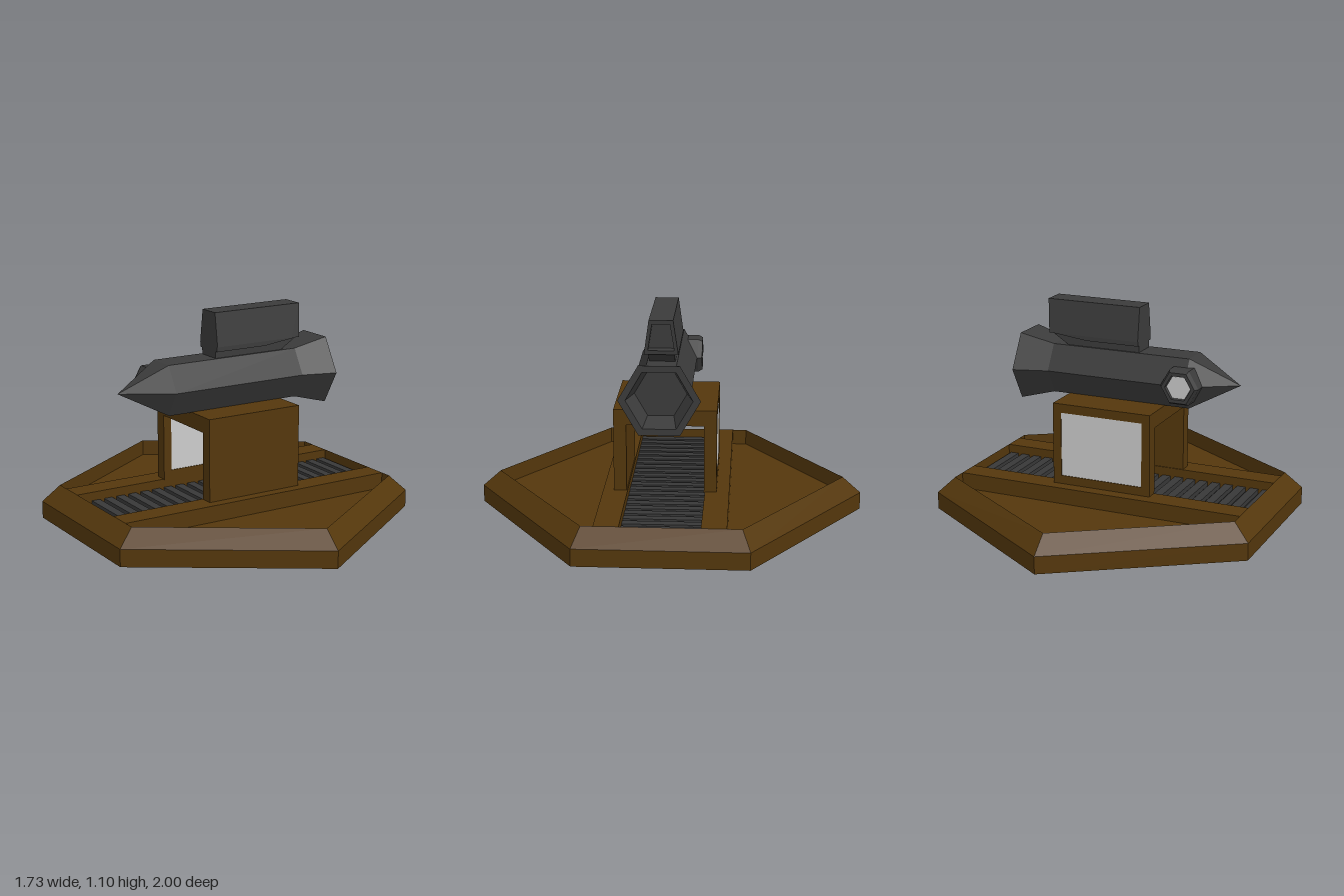
import * as THREE from 'three';

const mat = (color) => new THREE.MeshStandardMaterial({ color, flatShading: true });
const brown = mat(0x54370c);
const metal = mat(0x3b3b3b);
const barMetal = mat(0x383838);
const darkMetal = mat(0x282828);
const glass = mat(0xcccccc);

function add(parent, name, geometry, material, x = 0, y = 0, z = 0) {
  const mesh = new THREE.Mesh(geometry, material);
  mesh.name = name;
  mesh.position.set(x, y, z);
  parent.add(mesh);
  return mesh;
}

// Box given by its limits on each axis
function block(parent, name, material, [x0, x1], [y0, y1], [z0, z1]) {
  return add(parent, name, new THREE.BoxGeometry(x1 - x0, y1 - y0, z1 - z0), material,
    (x0 + x1) / 2, (y0 + y1) / 2, (z0 + z1) / 2);
}

const shapeOf = (pts) => new THREE.Shape(pts.map(([x, y]) => new THREE.Vector2(x, y)));
const extrude = (shape, depth) =>
  new THREE.ExtrudeGeometry(shape, { depth, bevelEnabled: false });
const hexLathe = (pts) =>
  new THREE.LatheGeometry(pts.map(([r, y]) => new THREE.Vector2(r, y)), 6);

// Six-sided tray: upright side, bevelled rim, inner wall and sunken floor
function plinthGeometry() {
  const ring = (y, x, zTip, zSide) =>
    [[0, y, zTip], [x, y, zSide], [x, y, -zSide], [0, y, -zTip], [-x, y, -zSide], [-x, y, zSide]];
  const rings = [ring(0, 0.866, 1, 0.43), ring(0.09, 0.866, 1, 0.43),
    ring(0.175, 0.78, 0.905, 0.39), ring(0.09, 0.78, 0.905, 0.39)];
  const faces = [[...rings[0]].reverse(), rings[3]];
  for (let r = 0; r < 3; r++)
    for (let i = 0; i < 6; i++) {
      const j = (i + 1) % 6;
      faces.push([rings[r][i], rings[r][j], rings[r + 1][j], rings[r + 1][i]]);
    }
  const pos = [];
  for (const f of faces)
    for (let i = 1; i < f.length - 1; i++) pos.push(...f[0], ...f[i], ...f[i + 1]);
  const g = new THREE.BufferGeometry();
  g.setAttribute('position', new THREE.Float32BufferAttribute(pos, 3));
  g.computeVertexNormals();
  return g;
}

function createBase() {
  const base = new THREE.Group();
  base.name = 'base';
  add(base, 'plinth', plinthGeometry(), brown);
  // Raised rails on both sides of the grating
  block(base, 'frontRail', brown, [-0.78, 0.78], [0.085, 0.175], [0.205, 0.33]);
  block(base, 'backRail', brown, [-0.78, 0.78], [0.085, 0.175], [-0.315, -0.19]);
  // Grating between the rails
  block(base, 'gratingFloor', darkMetal, [-0.78, 0.78], [0.085, 0.105], [-0.19, 0.205]);
  const count = 22, pitch = 1.56 / count;
  for (let i = 0; i < count; i++) {
    const x = -0.78 + (i + 0.5) * pitch;
    block(base, 'gratingBar', barMetal, [x - 0.023, x + 0.023], [0.1, 0.13], [-0.19, 0.205]);
  }
  return base;
}

function createStand() {
  const stand = new THREE.Group();
  stand.name = 'stand';
  block(stand, 'standTop', brown, [-0.27, 0.27], [0.525, 0.607], [-0.185, 0.21]);
  block(stand, 'frontWall', brown, [-0.27, 0.27], [0.17, 0.607], [0.21, 0.275]);
  // Back wall with a window
  const wall = shapeOf([[-0.27, 0.17], [0.27, 0.17], [0.27, 0.607], [-0.27, 0.607]]);
  wall.holes.push(shapeOf([[-0.225, 0.22], [-0.225, 0.56], [0.225, 0.56], [0.225, 0.22]]));
  add(stand, 'backWall', extrude(wall, 0.065), brown, 0, 0, -0.25);
  block(stand, 'windowPane', glass, [-0.225, 0.225], [0.22, 0.56], [-0.246, -0.189]);
  return stand;
}

function createRocket() {
  const rocket = new THREE.Group();
  rocket.name = 'rocket';
  rocket.position.set(0, 0.735, 0.025);

  // Hexagonal body: nose cone, barrel and hollow flared nozzle
  const body = hexLathe([[0, -0.65], [0.15, -0.4], [0.15, 0.36], [0.203, 0.54],
    [0.165, 0.54], [0.13, 0.41], [0, 0.41]]).rotateZ(-Math.PI / 2);
  add(rocket, 'body', body, metal);

  // Side lamp facing backwards
  const toBack = (g) => g.rotateY(Math.PI / 6).rotateX(-Math.PI / 2);
  add(rocket, 'lampHousing', toBack(hexLathe([[0, 0.03], [0.103, 0.03], [0.103, 0.155],
    [0.09, 0.177], [0.07, 0.177], [0.065, 0.16], [0, 0.16]])), metal, -0.378, 0, 0);
  add(rocket, 'lampLens', toBack(hexLathe([[0.065, 0.16], [0.065, 0.165], [0, 0.165]])),
    glass, -0.378, 0, 0);

  // Tapered top pod, hollow at its rear end
  const section = (inset) => shapeOf([[-0.085 + inset, 0.19 + inset], [0.085 - inset, 0.19 + inset],
    [0.06 - inset * 0.8, 0.365 - inset], [-0.06 + inset * 0.8, 0.365 - inset]]);
  const rim = section(0);
  rim.holes.push(section(0.02));
  const slant = (g) => {
    const p = g.attributes.position;
    for (let i = 0; i < p.count; i++)
      if (p.getX(i) > 0.38) p.setX(i, p.getX(i) + (p.getY(i) - 0.365) * 0.08);
    g.computeVertexNormals();
    return g;
  };
  const along = (shape, x0, x1) =>
    slant(extrude(shape, x1 - x0).rotateY(Math.PI / 2).translate(x0, 0, 0));
  add(rocket, 'pod', along(section(0), -0.12, 0.33), metal);
  add(rocket, 'podRim', along(rim, 0.33, 0.395), metal);

  // Chin under the pod and the narrower neck that joins it to the body
  const chin = shapeOf([[-0.12, 0.165], [0.17, 0.165], [0.375, 0.19], [-0.12, 0.19]]);
  add(rocket, 'podChin', extrude(chin, 0.16), metal, 0, 0, -0.08);
  const neck = shapeOf([[-0.12, 0.12], [0.265, 0.12], [0.375, 0.19], [-0.12, 0.19]]);
  add(rocket, 'podNeck', extrude(neck, 0.13), metal, 0, 0, -0.065);
  return rocket;
}

export function createModel() {
  const model = new THREE.Group();
  model.name = 'rocketMonument';
  model.add(createBase(), createStand(), createRocket());
  return model;
}
